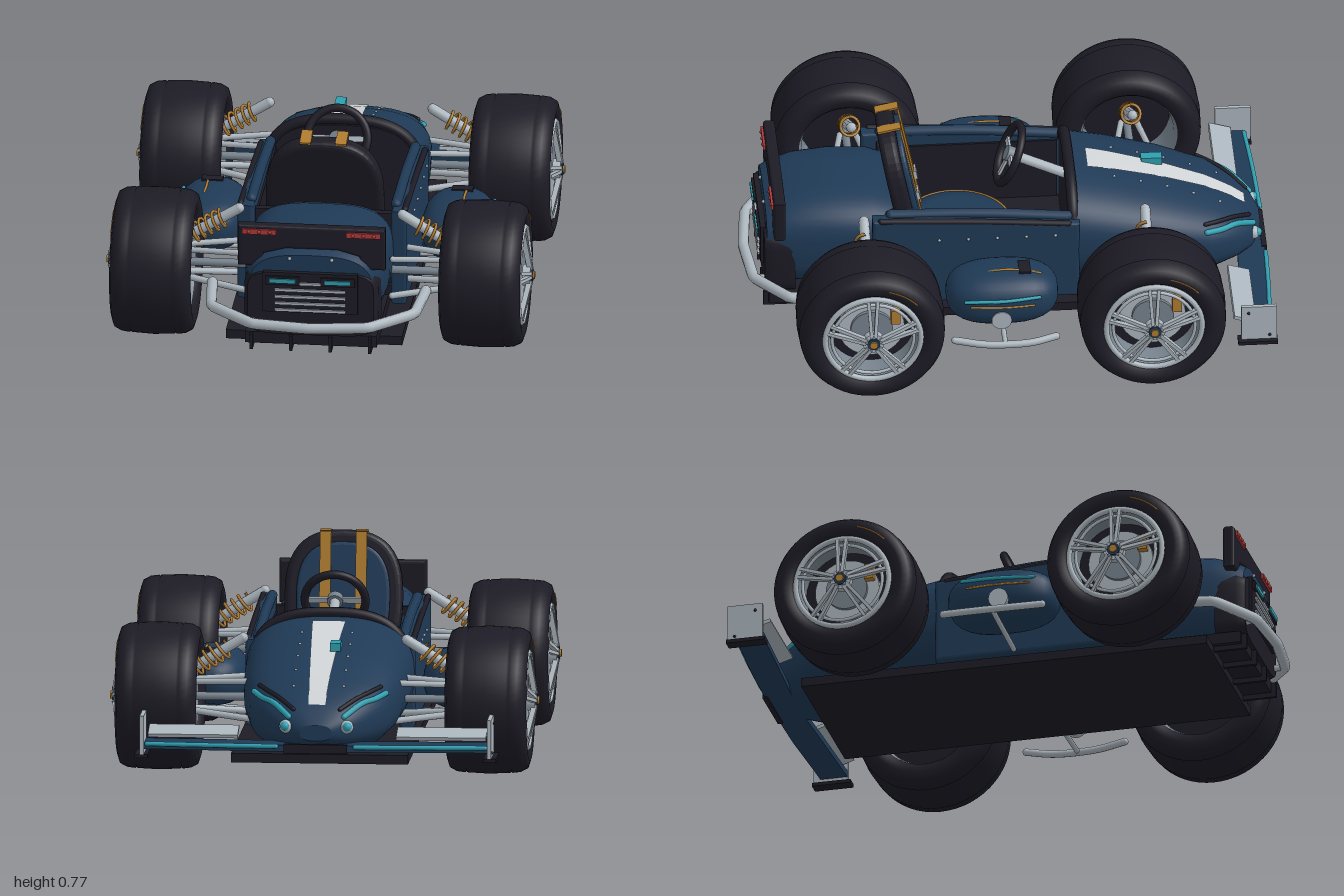
import * as THREE from 'three';

const mat = (name, color, side = THREE.FrontSide) => {
  const m = new THREE.MeshStandardMaterial({ color, side });
  m.name = name;
  return m;
};
const V = (x, y, z) => new THREE.Vector3(x, y, z);

// Superelliptic ring point for a section [z, halfWidth, bottom, top]
function ringPoint([z, hw, y0, y1], a, p) {
  const f = v => Math.sign(v) * Math.abs(v) ** (2 / p);
  return V(hw * f(Math.cos(a)), (y0 + y1) / 2 + (y1 - y0) / 2 * f(Math.sin(a)), z);
}

// Closed skin through sections of rising z
function loft(sections, p = 2.6, n = 48) {
  const pos = [], idx = [];
  const ring = s => {
    for (let j = 0; j < n; j++) pos.push(...ringPoint(s, j / n * Math.PI * 2, p).toArray());
  };
  sections.forEach(ring);
  for (let i = 0; i < sections.length - 1; i++) for (let j = 0; j < n; j++) {
    const k = (j + 1) % n, a = i * n + j, b = i * n + k;
    idx.push(a, b, b + n, a, b + n, a + n);
  }
  [sections[0], sections[sections.length - 1]].forEach((s, e) => {
    const o = pos.length / 3;
    ring(s);
    pos.push(0, (s[2] + s[3]) / 2, s[0]);
    for (let j = 0; j < n; j++) {
      const a = o + j, b = o + (j + 1) % n;
      idx.push(o + n, e ? a : b, e ? b : a);
    }
  });
  const g = new THREE.BufferGeometry();
  g.setAttribute('position', new THREE.Float32BufferAttribute(pos, 3));
  g.setIndex(idx);
  g.computeVertexNormals();
  return g;
}

const NOSE = [[-0.975, .06, .2, .26], [-0.94, .14, .17, .31], [-0.88, .2, .15, .355], [-0.78, .265, .13, .41],
  [-0.6, .3, .13, .475], [-0.4, .315, .13, .53], [-0.25, .32, .13, .56]];

// Height of the nose skin at x, z
function noseTop(x, z) {
  let i = 0;
  while (i < NOSE.length - 2 && NOSE[i + 1][0] < z) i++;
  const t = (z - NOSE[i][0]) / (NOSE[i + 1][0] - NOSE[i][0]);
  const [, hw, y0, y1] = NOSE[i].map((v, k) => v + (NOSE[i + 1][k] - v) * t);
  const r = Math.max(0, 1 - Math.min(1, Math.abs(x) / hw) ** 2.6) ** (1 / 2.6);
  return (y0 + y1) / 2 + (y1 - y0) / 2 * r;
}

export function createModel() {
  const navy = mat('navy', 0x1f3a56), black = mat('black', 0x1d1b25), silver = mat('silver', 0xacb6be),
    white = mat('white', 0xd0d4d6, THREE.DoubleSide), teal = mat('teal', 0x2f9fb0), gold = mat('gold', 0xb07c30),
    red = mat('red', 0xb23a3a), grey = mat('grey', 0x77838e, THREE.DoubleSide);
  const root = new THREE.Group();
  root.name = 'openRaceCar';

  const add = (name, geo, m, x = 0, y = 0, z = 0, parent = root) => {
    const mesh = new THREE.Mesh(geo, m);
    mesh.name = name;
    mesh.position.set(x, y, z);
    parent.add(mesh);
    return mesh;
  };
  const box = (name, m, w, h, d, x, y, z, parent) => add(name, new THREE.BoxGeometry(w, h, d), m, x, y, z, parent);
  const tube = (name, m, pts, r, parent, straight = false) => {
    const curve = new THREE.CatmullRomCurve3(pts, false, 'catmullrom', straight ? 0.05 : 0.5);
    const mesh = add(name, new THREE.TubeGeometry(curve, pts.length * 8, r, 10), m, 0, 0, 0, parent);
    for (const p of [pts[0], pts[pts.length - 1]]) add(name + 'End', new THREE.SphereGeometry(r, 10, 6), m, p.x, p.y, p.z, parent);
    return mesh;
  };
  const disc = (name, m, r, depth, x, parent) =>
    add(name, new THREE.CylinderGeometry(r, r, depth, 32).rotateZ(-Math.PI / 2), m, x, 0, 0, parent);

  // Wheels, built with the outer face toward +x
  const lathe = pts => new THREE.LatheGeometry(pts.map(p => new THREE.Vector2(...p)), 56).rotateZ(-Math.PI / 2);
  const tyre = lathe([[.185, -.13], [.2, -.148], [.23, -.155], [.258, -.146], [.272, -.12], [.276, -.09], [.27, -.085],
    [.276, -.08], [.28, 0], [.276, .08], [.27, .085], [.276, .09], [.272, .12], [.258, .146], [.23, .155], [.2, .148], [.185, .13]]);
  const barrel = lathe([[.185, -.13], [.172, -.1], [.165, 0], [.172, .11], [.185, .135]]);
  const lip = new THREE.TorusGeometry(.181, .011, 10, 56).rotateY(Math.PI / 2);
  const innerLip = new THREE.TorusGeometry(.155, .007, 8, 48).rotateY(Math.PI / 2);
  const arc = new THREE.TorusGeometry(.228, .003, 6, 16, .55).rotateZ(.75).rotateY(Math.PI / 2);
  for (const s of [1, -1]) for (const z of [-.52, .545]) {
    const w = new THREE.Group();
    w.name = 'wheel';
    w.position.set(s * .625, .29, z);
    if (s < 0) w.rotation.y = Math.PI;
    root.add(w);
    add('tyre', tyre, black, 0, 0, 0, w);
    add('rimBarrel', barrel, grey, 0, 0, 0, w);
    add('rimLip', lip, silver, .143, 0, 0, w);
    add('rimInnerLip', innerLip, silver, .14, 0, 0, w);
    add('tyreAccent', arc, gold, .155, 0, 0, w);
    disc('wheelBack', black, .166, .02, .03, w);
    disc('brakeDisc', silver, .125, .02, .055, w);
    disc('brakeBell', grey, .08, .03, .065, w);
    box('caliper', gold, .04, .06, .035, .075, .06, -.09, w);
    for (let i = 0; i < 5; i++) {
      const spoke = new THREE.Group();
      spoke.name = 'spoke';
      spoke.rotation.x = i / 5 * Math.PI * 2;
      w.add(spoke);
      for (const k of [-1, 1]) {
        const bar = box('spokeBar', silver, .02, .15, .013, .157, .1, k * .012, spoke);
        bar.rotation.set(k * .07, 0, .17);
      }
      add('wheelBolt', new THREE.SphereGeometry(.007, 8, 6), grey, .175, .028, 0, spoke);
    }
    disc('hub', silver, .04, .03, .158, w);
    disc('hubRing', navy, .024, .03, .166, w);
    disc('hubNut', gold, .015, .03, .173, w);

    // Suspension for this corner
    tube('axle', grey, [V(s * .25, .29, z), V(s * .64, .29, z)], .016);
    for (const k of [-1, 1]) {
      tube('lowerArm', silver, [V(s * .28, .22, z + k * .09), V(s * .5, .24, z + k * .03)], .013);
      tube('upperArm', silver, [V(s * .28, .36, z + k * .07), V(s * .5, .35, z + k * .03)], .012);
    }
    const a = V(s * .31, .515, z), b = V(s * .52, .385, z), coil = [];
    for (let i = 0; i <= 60; i++) {
      const t = i / 60, q = t * Math.PI * 2 * 5, c = a.clone().lerp(b, .28 + t * .6);
      coil.push(c.add(V(s * .53 * Math.cos(q), .85 * Math.cos(q), Math.sin(q)).multiplyScalar(.036)));
    }
    tube('damper', silver, [a, b], .02);
    add('spring', new THREE.TubeGeometry(new THREE.CatmullRomCurve3(coil), 120, .006, 6), gold);
  }

  // Floor and diffuser
  box('floor', black, .67, .035, 1.58, 0, .1, 0);
  box('underTray', black, .5, .045, .9, 0, .137, .45);
  for (const x of [-.225, -.075, .075, .225]) box('diffuserFin', black, .012, .06, .26, x, .125, .79);

  // Nose with stripe, rivets and lamps
  add('nose', loft(NOSE), navy);
  const sp = [], si = [];
  for (let i = 0; i <= 12; i++) {
    const z = -.92 + i * .05, w = .032 + i * .0026;
    for (const x of [-w, 0, w]) sp.push(x, noseTop(x, z) + .005, z);
    if (i < 12) for (const k of [0, 1]) {
      const q = i * 3 + k;
      si.push(q, q + 3, q + 4, q, q + 4, q + 1);
    }
  }
  const stripe = new THREE.BufferGeometry();
  stripe.setAttribute('position', new THREE.Float32BufferAttribute(sp, 3));
  stripe.setIndex(si);
  stripe.computeVertexNormals();
  add('noseStripe', stripe, white);
  box('noseFin', teal, .04, .03, .08, -.045, noseTop(0, -.57) + .014, -.57);
  for (const s of [1, -1]) {
    for (let i = 0; i < 5; i++) add('rivet', new THREE.SphereGeometry(.006, 8, 6), silver, s * .095, noseTop(.095, -.82 + i * .1), -.82 + i * .1);
    const at = (x, z, d = .004) => V(s * x, noseTop(x, z) + d, z);
    tube('noseLampStrip', teal, [at(.105, -.945), at(.165, -.88), at(.215, -.82), at(.25, -.76)], .011);
    tube('noseLampTrim', black, [at(.088, -.93), at(.145, -.87), at(.195, -.81), at(.23, -.755)], .008);
    add('headlamp', new THREE.SphereGeometry(.026, 16, 10), silver, s * .115, .25, -.945);
    add('headlampLens', new THREE.SphereGeometry(.018, 12, 8), teal, s * .118, .253, -.96);
  }

  // Cowl edge and dashboard
  add('dashboard', loft([[-.25, .315, .14, .555], [-.235, .3, .15, .55]]), black);
  const hoop = [];
  for (let i = 0; i <= 16; i++) hoop.push(ringPoint([-.25, .29, .15, .57], (.12 + .76 * i / 16) * Math.PI, 2.6));
  tube('cowlHoop', black, hoop, .021);

  // Cockpit tub
  const side = new THREE.Shape([[-.26, .15], [.5, .15], [.5, .5], [.3, .5], [-.26, .455]].map(p => new THREE.Vector2(...p)));
  const wall = new THREE.ExtrudeGeometry(side, { depth: .04, bevelSize: .012, bevelThickness: .01, bevelSegments: 3 }).rotateY(-Math.PI / 2);
  box('cockpitFloor', black, .54, .04, .72, 0, .18, .12);
  box('bulkhead', black, .52, .3, .03, 0, .33, .44);
  for (const s of [1, -1]) {
    add('cockpitSide', wall, navy, s > 0 ? .312 : -.272, 0, 0);
    box('cockpitLining', black, .008, .27, .68, s * .257, .32, .11);
    tube('cockpitRail', navy, [V(s * .275, .475, -.23), V(s * .275, .505, .1), V(s * .275, .515, .44)], .02);
    tube('cockpitEdge', black, [V(s * .312, .465, -.23), V(s * .312, .49, .1), V(s * .312, .51, .48)], .012);
    for (let i = 0; i < 5; i++) add('sideRivet', new THREE.SphereGeometry(.006, 8, 6), silver, s * .324, .42, -.18 + i * .11);

    // Side pod with stripes, vent and outer rail
    const pod = [];
    for (let i = 0; i <= 16; i++) {
      const t = -Math.cos(i / 16 * Math.PI), k = Math.max(.02, (1 - Math.abs(t) ** 2.6) ** (1 / 2.6));
      pod.push([t * .213, .135 * k, .28 - .11 * k, .28 + .11 * k]);
    }
    add('sidePod', loft(pod, 2.4, 36), navy, s * .467, 0, .035);
    tube('podStripe', teal, [V(s * .59, .325, -.1), V(s * .602, .32, .035), V(s * .59, .315, .18)], .007);
    tube('podPinstripe', gold, [V(s * .594, .292, -.08), V(s * .602, .292, .035), V(s * .594, .292, .16)], .004);
    tube('podTopLine', gold, [V(s * .495, .372, -.11), V(s * .49, .39, .02), V(s * .495, .37, .16)], .005);
    box('podVent', black, .08, .008, .045, s * .475, .388, -.05);
    add('fuelCap', new THREE.CylinderGeometry(.038, .038, .03, 24).rotateZ(Math.PI / 2), silver, s * .59, .235, .045);
    tube('sideRail', silver, [V(s * .635, .175, -.16), V(s * .658, .165, -.05), V(s * .658, .165, .1), V(s * .635, .175, .225)], .014);
    tube('railMount', silver, [V(s * .32, .15, .035), V(s * .655, .165, .035)], .01);
  }

  // Seat
  add('seatCushion', lathe([[0, -.03], [.19, -.03], [.21, 0], [.2, .035], [.15, .045], [0, .04]]).rotateZ(Math.PI / 2), navy, 0, .245, .17);
  add('cushionPiping', new THREE.TorusGeometry(.203, .006, 8, 48).rotateX(Math.PI / 2), gold, 0, .277, .17);
  const oval = (hw, hh) => {
    const pts = [];
    for (let i = 0; i < 48; i++) {
      const p = ringPoint([0, hw, -hh, hh], i / 24 * Math.PI, 2.7);
      pts.push(new THREE.Vector2(p.x, p.y));
    }
    return new THREE.Shape(pts);
  };
  const back = new THREE.Group();
  back.name = 'seatBack';
  back.position.set(0, .515, .395);
  back.rotation.x = .2;
  root.add(back);
  add('backShell', new THREE.ExtrudeGeometry(oval(.2, .235), { depth: .03, bevelSize: .024, bevelThickness: .02, bevelSegments: 4 }), black, 0, 0, -.015, back);
  add('backPad', new THREE.ExtrudeGeometry(oval(.165, .2), { depth: .01, bevelSize: .012, bevelThickness: .01, bevelSegments: 3 }), navy, 0, 0, -.045, back);
  for (const s of [1, -1]) {
    box('harnessStrap', gold, .042, .44, .008, s * .068, .03, -.057, back);
    box('strapTop', gold, .042, .008, .09, s * .068, .256, -.014, back);
    box('strapBuckle', silver, .05, .035, .012, s * .068, -.06, -.062, back);
  }

  // Steering wheel and column
  const steer = new THREE.Group();
  steer.name = 'steeringWheel';
  steer.position.set(0, .58, -.03);
  steer.rotation.x = -.42;
  root.add(steer);
  add('steeringRim', new THREE.TorusGeometry(.115, .016, 12, 40), black, 0, 0, 0, steer);
  for (const q of [0, Math.PI, -Math.PI / 2]) {
    const arm = box('steeringSpoke', silver, .1, .022, .01, Math.cos(q) * .06, Math.sin(q) * .06, 0, steer);
    arm.rotation.z = q;
  }
  add('steeringHub', new THREE.CylinderGeometry(.03, .03, .03, 20).rotateX(Math.PI / 2), grey, 0, 0, 0, steer);
  tube('steeringColumn', silver, [V(0, .575, -.04), V(0, .47, -.26)], .02);

  // Engine cover and tail
  add('engineCover', loft([[.42, .26, .15, .5], [.5, .272, .15, .53], [.65, .272, .15, .54], [.78, .262, .15, .53], [.86, .25, .16, .505], [.905, .235, .18, .48]], 3), navy);
  add('tailFascia', loft([[.8, .258, .145, .42], [.88, .255, .15, .42], [.915, .24, .16, .41]], 6), black);
  box('grille', black, .36, .16, .02, 0, .335, .917);
  for (let i = 0; i < 5; i++) box('grilleSlat', silver, .27, .01, .012, 0, .265 + i * .027, .929);
  for (const s of [1, -1]) {
    box('tailLampBezel', black, .13, .034, .012, s * .105, .385, .93);
    box('tailLamp', teal, .1, .016, .008, s * .105, .385, .938);
    const px = s * .198;
    box('brakeLamp', red, .13, .02, .009, px, .562, .888);
    for (const k of [-1, 0, 1]) add('brakeBulb', new THREE.SphereGeometry(.007, 8, 6), red, px + k * .04, .562, .892);
    add('coverBolt', new THREE.SphereGeometry(.007, 8, 6), silver, s * .08, .465, .908);
  }
  const panel = new THREE.Shape([[-.27, .43], [-.2, .43], [-.19, .48], [-.1, .505], [.1, .505], [.19, .48], [.2, .43], [.27, .43], [.27, .575], [-.27, .575]].map(p => new THREE.Vector2(...p)));
  add('rearPanel', new THREE.ExtrudeGeometry(panel, { depth: .025, bevelSize: .01, bevelThickness: .01, bevelSegments: 3 }), black, 0, 0, .848);

  // Rear bumper
  tube('rearBumper', silver, [V(-.405, .235, .61), V(-.385, .23, .83), V(-.22, .215, .955), V(0, .212, .978),
    V(.22, .215, .955), V(.385, .23, .83), V(.405, .235, .61)], .021, root, true);
  for (const s of [1, -1]) tube('bumperStay', silver, [V(s * .2, .2, .82), V(s * .22, .215, .955)], .012);

  // Front wing
  const plan = new THREE.Shape([[-.65, -.965], [-.3, -.985], [0, -.99], [.3, -.985], [.65, -.965], [.65, -.86], [.3, -.875], [0, -.89], [-.3, -.875], [-.65, -.86]].map(p => new THREE.Vector2(...p)));
  add('frontWing', new THREE.ExtrudeGeometry(plan, { depth: .025, bevelEnabled: false }).rotateX(Math.PI / 2), navy, 0, .185, 0);
  box('wingCentre', black, .24, .034, .02, 0, .172, -.986);
  for (const s of [1, -1]) {
    tube('wingAccent', teal, [V(s * .15, .18, -.989), V(s * .4, .18, -.981), V(s * .64, .18, -.967)], .009);
    const flap = box('wingFlap', silver, .34, .014, .085, s * .47, .215, -.873);
    flap.rotation.x = -.3;
    box('endPlate', silver, .016, .155, .135, s * .658, .212, -.925);
    box('endPlateFoot', black, .05, .014, .15, s * .66, .136, -.92);
    for (const k of [-1, 1]) add('endPlateBolt', new THREE.SphereGeometry(.006, 8, 6), black, s * .667, .212 + k * .05, -.925 + k * .04);
  }
  return root;
}
